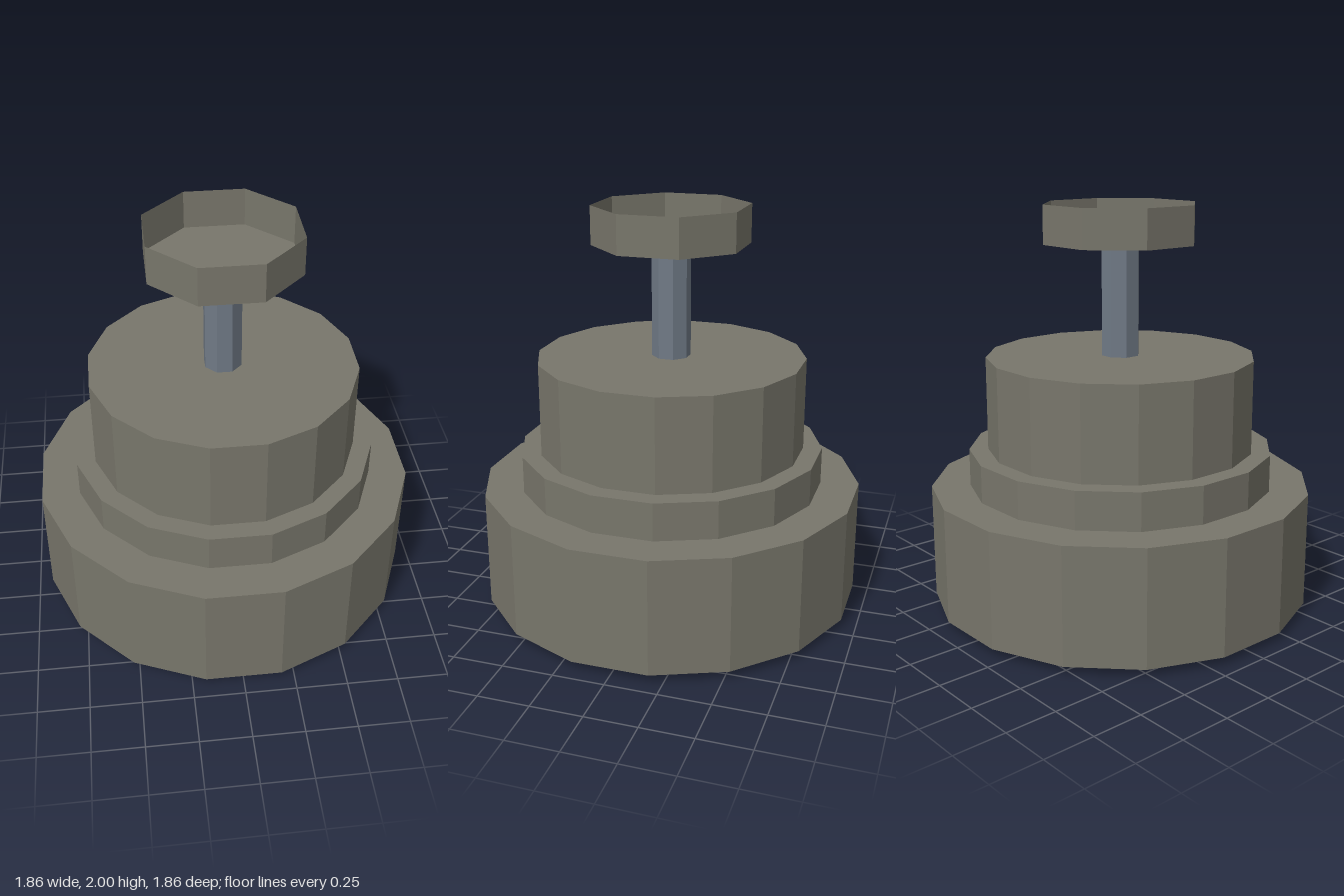
import * as THREE from 'three';

export function createModel() {
  const model = new THREE.Group();
  const makeMaterial = (name, color, side = THREE.FrontSide) => {
    const m = new THREE.MeshStandardMaterial({ color, side, flatShading: true });
    m.name = name;
    return m;
  };
  const metal = makeMaterial('dark warm metal', 0x78766b, THREE.DoubleSide);
  const steel = makeMaterial('blue steel', 0x707a86);
  const gold = makeMaterial('gold', 0xd4af37);

  // Upright prism with a flat facing each axis; halfWidth is measured to the flat
  function prism(name, halfWidth, y0, y1, sides, material, open = false) {
    const r = halfWidth / Math.cos(Math.PI / sides);
    const geo = new THREE.CylinderGeometry(r, r, y1 - y0, sides, 1, open);
    geo.rotateY(Math.PI / sides);
    const mesh = new THREE.Mesh(geo, material);
    mesh.name = name;
    mesh.position.y = (y0 + y1) / 2;
    return mesh;
  }

  // Stepped body on a gold base plate
  model.add(
    prism('basePlate', 0.84, 0.005, 0.05, 16, gold),
    prism('lowerBody', 0.93, 0.045, 0.615, 16, metal),
    prism('middleStep', 0.742, 0.615, 0.8, 16, metal),
    prism('upperBody', 0.65, 0.8, 1.263, 16, metal),
    prism('plungerShaft', 0.088, 1.263, 1.811, 8, steel)
  );

  // Plunger cup: thin wall, closed below and open above
  const cup = new THREE.Group();
  cup.name = 'plungerCup';
  const floorGeo = new THREE.CircleGeometry(0.355 / Math.cos(Math.PI / 8), 8);
  floorGeo.rotateX(-Math.PI / 2).rotateY(Math.PI / 8);
  const floor = new THREE.Mesh(floorGeo, metal);
  floor.name = 'cupFloor';
  floor.position.y = 1.812;
  cup.add(prism('cupWall', 0.355, 1.812, 2, 8, metal, true), floor);
  model.add(cup);

  return model;
}
